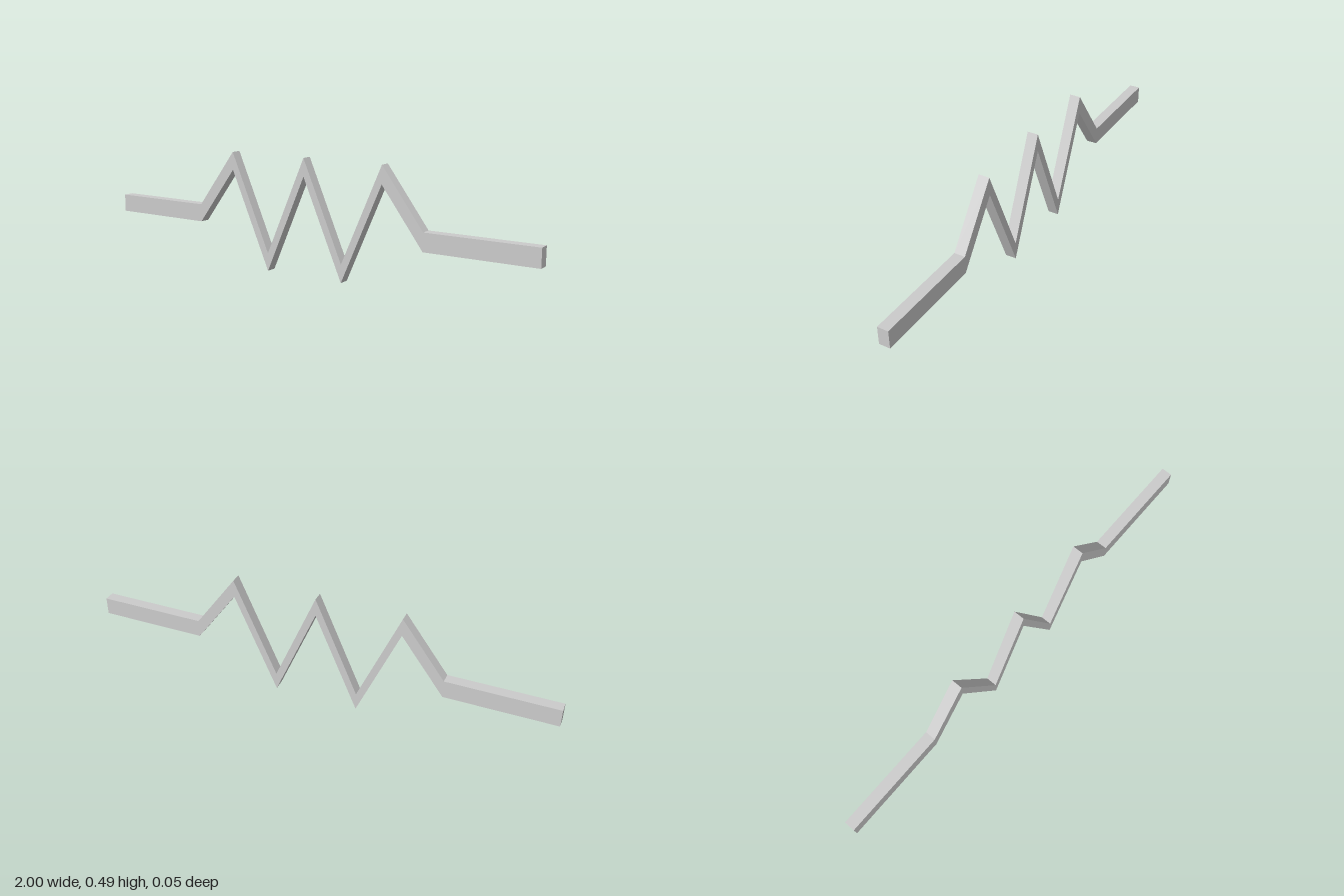
import * as THREE from 'three';

export function createModel() {
  const group = new THREE.Group();
  const height = 0.076, depth = 0.046;

  // Lower edge of the strip: straight lead, zigzag, straight lead
  const lower = [
    [-1, 0.173], [-0.54, 0.173],
    [-0.36, 0.415], [-0.18, 0], [0, 0.415], [0.18, 0], [0.36, 0.415],
    [0.54, 0.173], [1, 0.173],
  ];
  // Upper edge is the same line raised by the strip height
  const upper = lower.map(([x, y]) => [x, y + height]).reverse();
  const shape = new THREE.Shape([...lower, ...upper].map(([x, y]) => new THREE.Vector2(x, y)));

  const geometry = new THREE.ExtrudeGeometry(shape, { depth, bevelEnabled: false });
  geometry.translate(0, 0, -depth / 2);

  const strip = new THREE.Mesh(
    geometry,
    new THREE.MeshStandardMaterial({ color: 0xcccccc, flatShading: true })
  );
  strip.name = 'zigzagStrip';
  group.add(strip);
  return group;
}
